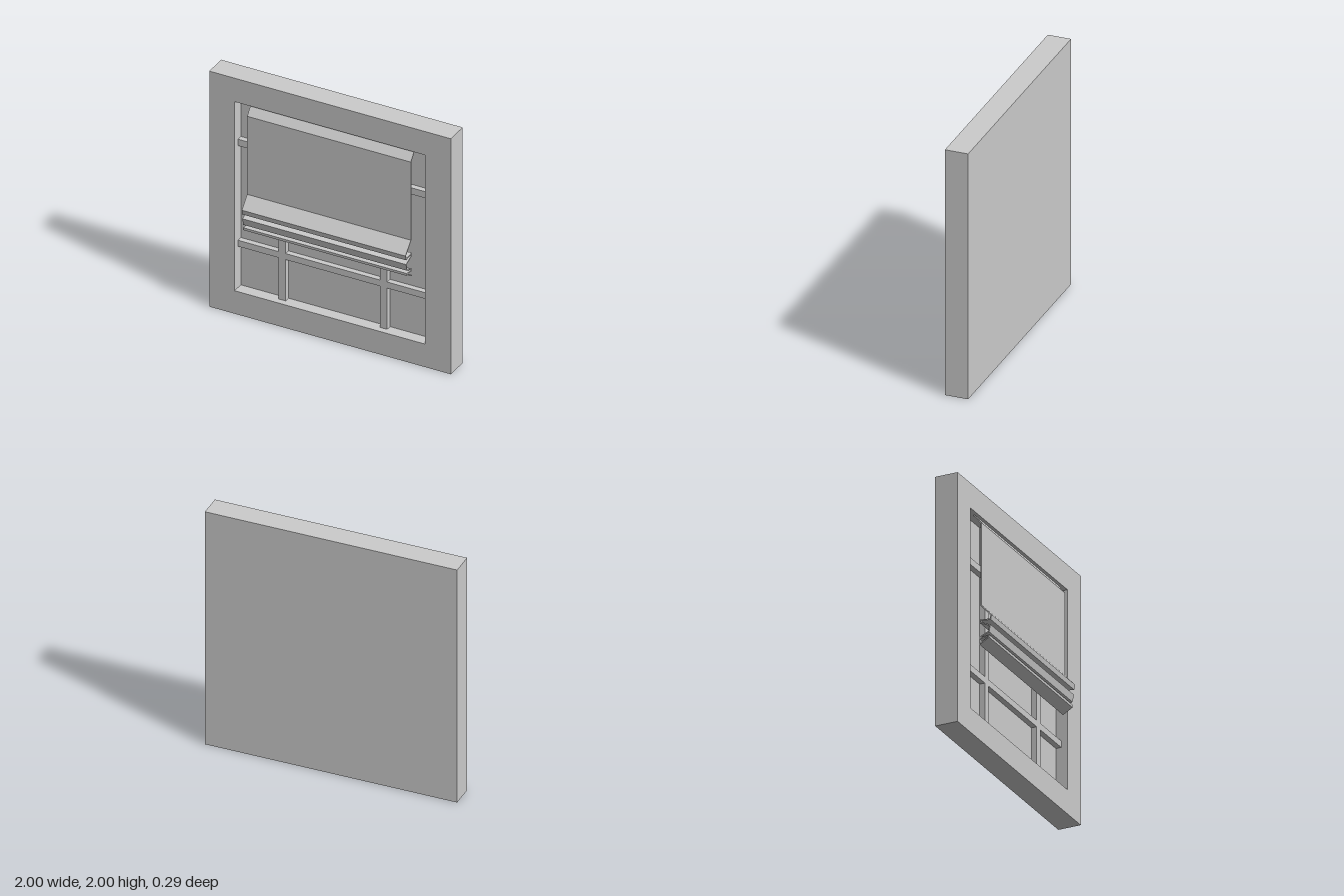
import * as THREE from 'three';

const material = new THREE.MeshStandardMaterial({ color: 0xcccccc, flatShading: true });

const BACK = -0.147, GLASS = -0.06, BAR = -0.016, FRONT = 0.035;
const OPEN = { x0: -0.79, x1: 0.785, y0: 0.195, y1: 1.8 };

function addMesh(group, name, geometry) {
  const mesh = new THREE.Mesh(geometry, material);
  mesh.name = name;
  group.add(mesh);
}

function box(x0, x1, y0, y1, z0, z1) {
  return new THREE.BoxGeometry(x1 - x0, y1 - y0, z1 - z0)
    .translate((x0 + x1) / 2, (y0 + y1) / 2, (z0 + z1) / 2);
}

function rectPoints(x0, x1, y0, y1) {
  return [[x0, y0], [x1, y0], [x1, y1], [x0, y1]].map(([x, y]) => new THREE.Vector2(x, y));
}

// Extrudes a shape along z between two depths
function slab(shape, z0, z1) {
  return new THREE.ExtrudeGeometry(shape, { depth: z1 - z0, bevelEnabled: false }).translate(0, 0, z0);
}

// Thickens an open line into a closed strip with mitred corners
function stripShape(line, thickness) {
  const pts = line.map(([z, y]) => new THREE.Vector2(z, y));
  const normal = (a, b) => {
    const d = b.clone().sub(a).normalize();
    return new THREE.Vector2(-d.y, d.x);
  };
  const sideA = [], sideB = [];
  pts.forEach((p, i) => {
    const n0 = normal(pts[Math.max(i - 1, 0)], pts[Math.max(i, 1)]);
    const last = pts.length - 1;
    const n1 = normal(pts[Math.min(i, last - 1)], pts[Math.min(i + 1, last)]);
    const miter = n0.clone().add(n1).normalize();
    const offset = miter.multiplyScalar(thickness / 2 / Math.max(miter.dot(n1), 0.5));
    sideA.push(p.clone().add(offset));
    sideB.unshift(p.clone().sub(offset));
  });
  return new THREE.Shape([...sideA, ...sideB]);
}

export function createModel() {
  const model = new THREE.Group();
  model.name = 'windowWithBlind';

  // Wall block: solid back panel and a surround with the window opening
  addMesh(model, 'backPanel', box(-1, 1, 0, 2, BACK, GLASS));
  const surround = new THREE.Shape(rectPoints(-1, 1, 0, 2));
  surround.holes.push(new THREE.Path(rectPoints(OPEN.x0, OPEN.x1, OPEN.y0, OPEN.y1)));
  addMesh(model, 'surround', slab(surround, GLASS, FRONT));

  // Glazing bars: one grid whose holes are the panes
  const columns = [[OPEN.x0, -0.455], [-0.395, 0.387], [0.445, OPEN.x1]];
  const rows = [[OPEN.y0, 0.545], [0.597, 1.4], [1.455, OPEN.y1]];
  const bars = new THREE.Group();
  bars.name = 'glazingBars';
  for (let i = 0; i < 2; i++) {
    addMesh(bars, 'verticalBar', box(columns[i][1], columns[i + 1][0], OPEN.y0, OPEN.y1, GLASS, BAR));
    // Horizontal bars run between the vertical ones
    for (const [x0, x1] of columns) {
      addMesh(bars, 'horizontalBar', box(x0, x1, rows[i][1], rows[i + 1][0], GLASS, BAR));
    }
  }
  model.add(bars);

  // Fabric blind: side profile (z, y) with gathered folds at the bottom
  const profile = [
    [0.002, 1.8], [0.06, 1.725], [0.06, 1.062], [0.142, 0.971], [0.136, 0.938],
    [0.057, 0.946], [0.056, 0.925], [0.132, 0.892], [0.122, 0.841], [0.054, 0.811],
    [0.054, 0.8], [0.123, 0.809], [0.122, 0.796], [0.046, 0.754],
  ];
  const blind = slab(stripShape(profile, 0.009), 0, 1.355)
    .rotateY(-Math.PI / 2)
    .translate(0.685, 0, 0);
  addMesh(model, 'romanBlind', blind);

  return model;
}
